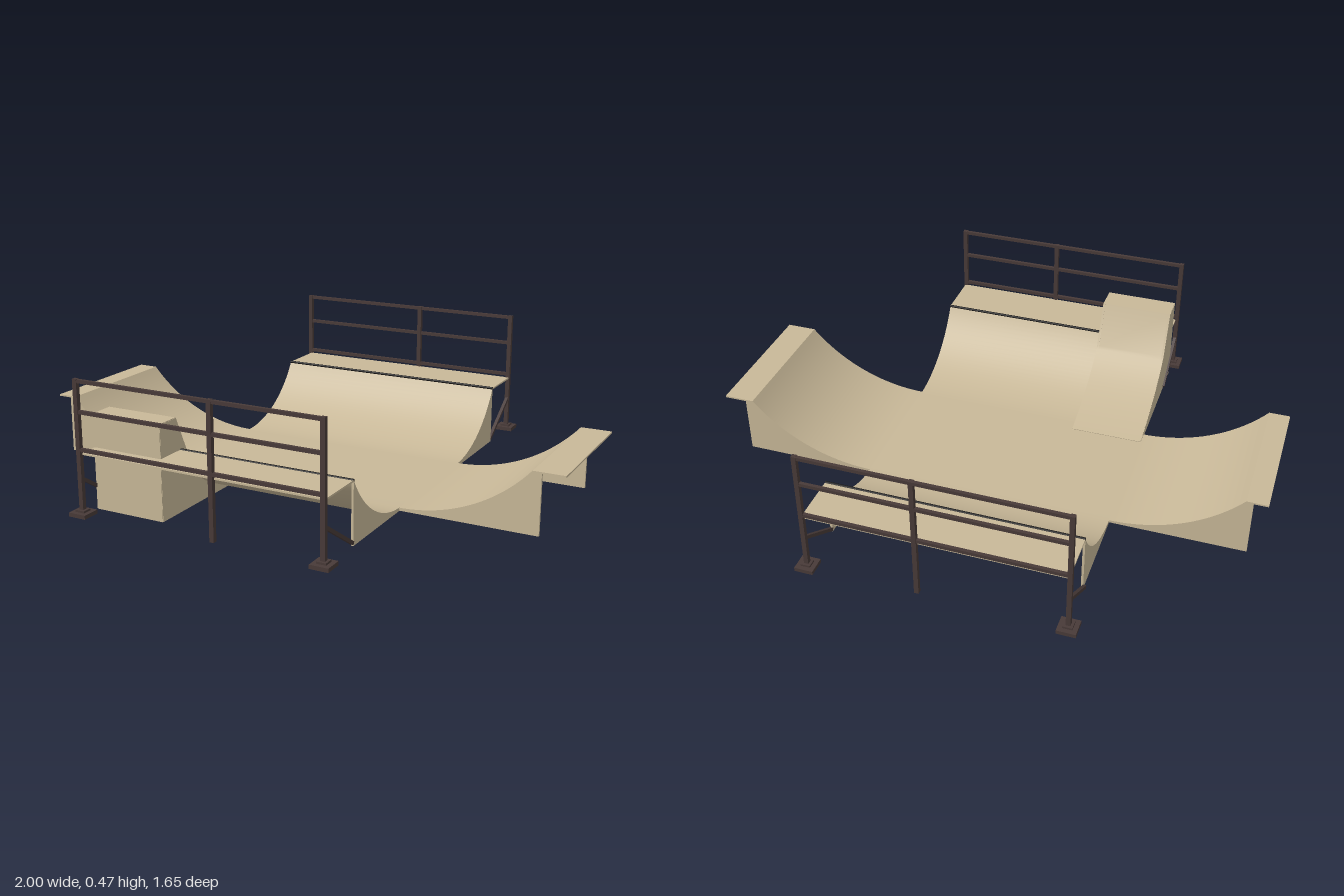
import * as THREE from 'three';
import { toCreasedNormals } from 'three/addons/utils/BufferGeometryUtils.js';

const X0 = -0.47, X1 = 0.435;      // sides of the main ramp
const ARM = 0.262;                 // half width of the side ramps
const FLOOR = 0.012, DECK = 0.218;
const LIP = 0.605, END = 0.79;     // main ramp: lip and deck end

// Points of a circular transition, level at u0 and rising to u1
function transition(u0, u1, y0 = FLOOR, y1 = DECK, n = 24) {
  const w = Math.abs(u1 - u0), h = y1 - y0, r = (w * w + h * h) / (2 * h);
  const full = Math.asin(w / r), dir = Math.sign(u1 - u0);
  return Array.from({ length: n + 1 }, (_, i) => {
    const a = (full * i) / n;
    return new THREE.Vector2(u0 + dir * r * Math.sin(a), y0 + r * (1 - Math.cos(a)));
  });
}

const V = (u, y) => new THREE.Vector2(u, y);

// Thickens an open profile downwards (points in order of rising u)
function thicken(pts, t = 0.006) {
  const under = pts.map((p, i) => {
    const a = pts[Math.max(i - 1, 0)], b = pts[Math.min(i + 1, pts.length - 1)];
    const d = b.clone().sub(a).normalize();
    return V(p.x + d.y * t, Math.max(p.y - d.x * t, 0));
  });
  return [...pts, ...under.reverse()];
}

// Extrudes a profile between two positions across it; along is 'x' or 'z'
function extrude(outline, along, from, to) {
  const geo = new THREE.ExtrudeGeometry(new THREE.Shape(outline), { depth: to - from, bevelEnabled: false });
  if (along === 'z') geo.translate(0, 0, from);
  else geo.rotateY(-Math.PI / 2).translate(to, 0, 0);
  return toCreasedNormals(geo, 0.45);
}

export function createModel() {
  const model = new THREE.Group();
  model.name = 'skateRamp';
  const wood = new THREE.MeshStandardMaterial({ color: 0xc8b898, side: THREE.DoubleSide });
  wood.name = 'plywood';
  const metal = new THREE.MeshStandardMaterial({ color: 0x483a38 });
  metal.name = 'dark brown steel';
  const black = new THREE.MeshStandardMaterial({ color: 0x151414 });
  black.name = 'black coping';

  function add(name, geo, mat, parent = model) {
    const mesh = new THREE.Mesh(geo, mat);
    mesh.name = name;
    parent.add(mesh);
    return mesh;
  }

  // Main ramp: deck, transition, floor, transition, deck in one sheet
  const front = transition(ARM - 0.012, LIP);
  const back = front.map((p) => V(-p.x, p.y)).reverse();
  add('mainRamp', extrude(thicken([V(-END, DECK), ...back, ...front, V(END, DECK)]), 'x', X0, X1), wood);

  // Side panels and coping of the main ramp
  for (const s of [1, -1]) {
    const curve = front.map((p) => V(s * p.x, p.y - 0.003));
    const panel = [V(s * front[0].x, 0), ...curve, V(s * LIP, 0)];
    add('mainRampPanel', extrude(panel, 'x', X0, X0 + 0.008), wood);
    add('mainRampPanel', extrude(panel, 'x', X1 - 0.008, X1), wood);
    const pipe = new THREE.CylinderGeometry(0.005, 0.005, X1 - X0, 10).rotateZ(Math.PI / 2);
    add('coping', pipe, black).position.set((X0 + X1) / 2, DECK - 0.001, s * LIP);
  }

  // Side ramps with their narrow decks and panels
  for (const { s, foot, lip, panelEnd } of [
    { s: -1, foot: X0, lip: -0.925, panelEnd: -0.95 },
    { s: 1, foot: X1, lip: 0.89, panelEnd: 0.92 },
  ]) {
    const curve = transition(foot, lip);
    const profile = [...curve, V(s, DECK)];
    if (s < 0) profile.reverse();
    add('sideRamp', extrude(thicken(profile), 'z', -ARM, ARM), wood);
    const top = curve.map((p) => V(p.x, p.y - 0.003));
    const panel = [V(foot, 0), ...top, V(panelEnd, DECK - 0.003), V(panelEnd, 0)];
    add('sideRampPanel', extrude(panel, 'z', -ARM + 0.003, -ARM + 0.012), wood);
    add('sideRampPanel', extrude(panel, 'z', ARM - 0.012, ARM - 0.003), wood);
  }

  // Raised extension: hollow box with a steeper riding face
  const E1 = -0.205;
  const rise = new THREE.QuadraticBezierCurve(V(0.21, FLOOR + 0.002), V(0.46, 0.07), V(0.56, 0.18)).getPoints(20);
  const shell = [...rise, V(0.63, 0.335), V(0.72, 0.335), V(0.72, 0)];
  const extension = new THREE.Group();
  extension.name = 'raisedExtension';
  model.add(extension);
  add('extensionFace', extrude(thicken(shell), 'x', X0 - 0.002, E1), wood, extension);
  const side = [V(0.21, 0.001), ...shell.map((p) => V(p.x - 0.002, Math.max(p.y - 0.002, 0)))];
  add('extensionSide', extrude(side, 'x', X0 - 0.003, X0 + 0.005), wood, extension);
  add('extensionSide', extrude(side, 'x', E1 - 0.007, E1 + 0.001), wood, extension);

  // Square bar between two points
  function bar(name, a, b, t, parent) {
    const from = new THREE.Vector3(...a), to = new THREE.Vector3(...b);
    const mesh = add(name, new THREE.BoxGeometry(t, t, from.distanceTo(to)), metal, parent);
    mesh.position.copy(from).add(to).multiplyScalar(0.5);
    mesh.lookAt(to);
  }

  // Railings at both ends, with feet and braces on the corner posts
  for (const s of [1, -1]) {
    const railing = new THREE.Group();
    railing.name = s > 0 ? 'frontRailing' : 'backRailing';
    model.add(railing);
    const z = s * 0.794, left = -0.474, right = 0.431;
    for (const y of [0.464, 0.36, 0.231]) bar('rail', [left, y, z], [right, y, z], 0.012, railing);
    for (const x of [left, 0.038, right]) bar('post', [x, 0.006, z], [x, 0.471, z], 0.016, railing);
    for (const x of [left, right]) {
      add('footPlate', new THREE.BoxGeometry(0.066, 0.014, 0.066), metal, railing).position.set(x, 0.009, z);
      add('footCollar', new THREE.BoxGeometry(0.034, 0.008, 0.034), metal, railing).position.set(x, 0.019, z);
      bar('brace', [x, 0.132, z], [x, 0.01, s * LIP], 0.012, railing);
    }
  }
  return model;
}
